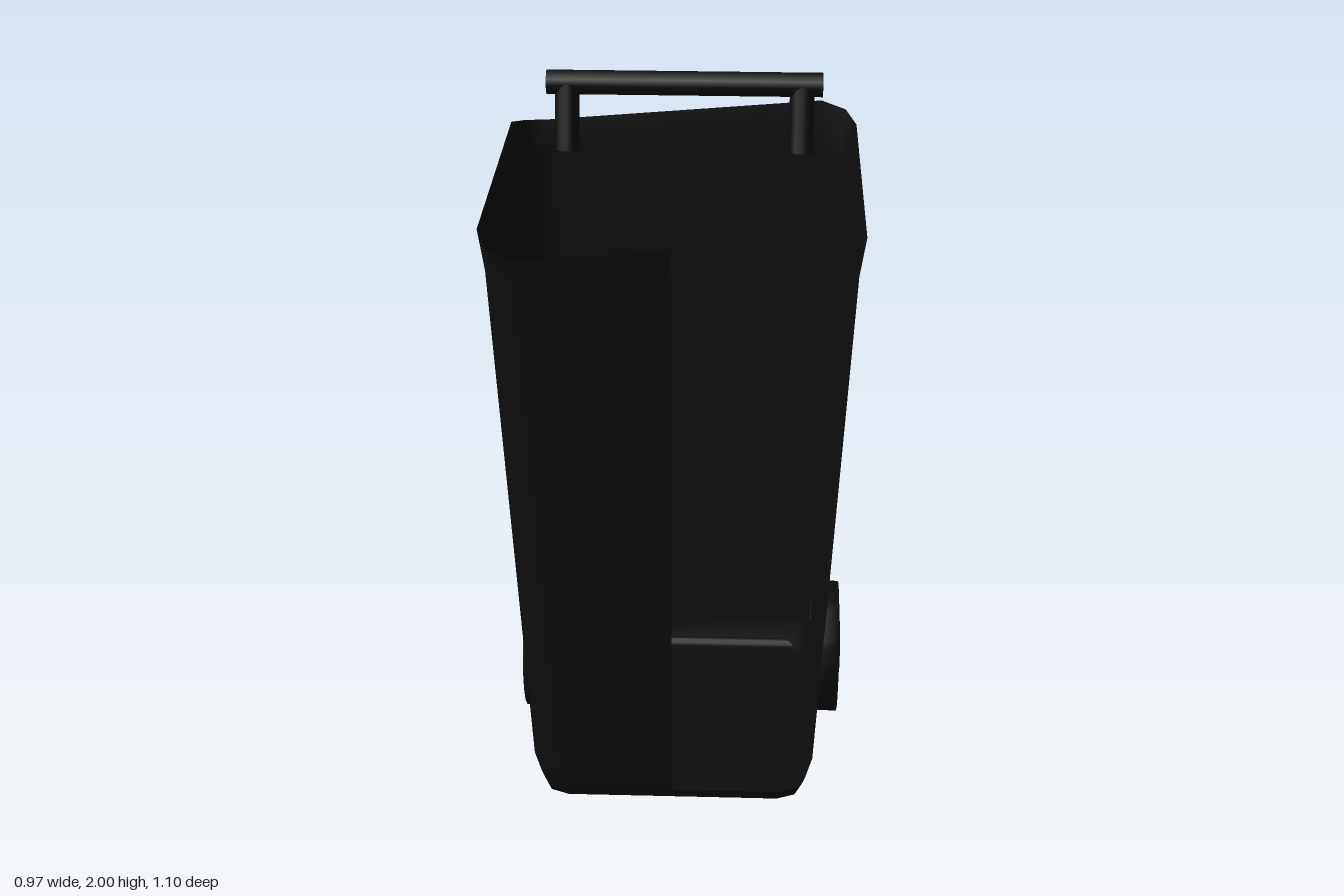
import * as THREE from 'three';

const black = new THREE.MeshStandardMaterial({ color: 0x0e0e0e, side: THREE.DoubleSide });
black.name = 'black plastic';

// Rounded-rectangle outline starting at the front middle and running towards -x.
function outline(halfX, front, back, c) {
  const k = c * 0.3;
  return [
    [0, front],
    [-halfX + c, front], [-halfX + k, front - k], [-halfX, front - c],
    [-halfX, back + c], [-halfX + k, back + k], [-halfX + c, back],
    [halfX - c, back], [halfX - k, back + k], [halfX, back + c],
    [halfX, front - c], [halfX - k, front - k], [halfX - c, front],
  ];
}

// Uneven heights of the top rim, one per outline point.
const rimHeights = [1.887, 1.855, 1.865, 1.895, 1.88, 1.862, 1.855,
  1.92, 1.905, 1.885, 1.887, 1.9, 1.9];

// Height, half width, front z, back z, corner size
const levels = [
  [0.2, 0.36, 0.44, -0.35, 0.07],
  [0.23, 0.37, 0.45, -0.36, 0.075],
  [0.3, 0.387, 0.465, -0.375, 0.08],
  [1.78, 0.459, 0.531, -0.445, 0.09],
  [null, 0.474, 0.545, -0.457, 0.095],
];

function geometryFrom(points, index) {
  const g = new THREE.BufferGeometry();
  g.setAttribute('position', new THREE.Float32BufferAttribute(points, 3));
  g.setIndex(index);
  g.computeVertexNormals();
  return g;
}

function wallGeometry() {
  const points = [], index = [], n = rimHeights.length;
  for (const [y, ...size] of levels) {
    outline(...size).forEach(([x, z], j) => points.push(x, y ?? rimHeights[j], z));
  }
  for (let i = 0; i < levels.length - 1; i++) {
    for (let j = 0; j < n; j++) {
      if (i > 0 && j >= 10) continue; // opening in the front, above the low lip
      const a = i * n + j, b = i * n + (j + 1) % n;
      index.push(a, a + n, b + n, a, b + n, b);
    }
  }
  return geometryFrom(points, index);
}

function floorGeometry() {
  const [y, ...size] = levels[0];
  const ring = outline(...size), points = [0, y, 0.04], index = [];
  ring.forEach(([x, z], j) => {
    points.push(x, y, z);
    index.push(0, j + 1, (j + 1) % ring.length + 1);
  });
  return geometryFrom(points, index);
}

function add(parent, name, geometry) {
  const mesh = new THREE.Mesh(geometry, black);
  mesh.name = name;
  parent.add(mesh);
  return mesh;
}

// Round bar between two points
function bar(parent, name, from, to, radius) {
  const a = new THREE.Vector3(...from), b = new THREE.Vector3(...to);
  const dir = b.clone().sub(a);
  const mesh = add(parent, name, new THREE.CylinderGeometry(radius, radius, dir.length(), 12));
  mesh.position.copy(a).add(b).multiplyScalar(0.5);
  mesh.quaternion.setFromUnitVectors(new THREE.Vector3(0, 1, 0), dir.normalize());
}

export function createModel() {
  const model = new THREE.Group();
  model.name = 'wheeledBin';

  add(model, 'walls', wallGeometry());
  add(model, 'floor', floorGeometry());

  // Push handle on two slanted arms
  bar(model, 'handleBar', [-0.382, 1.966, -0.452], [0.382, 1.966, -0.452], 0.034);
  for (const side of [-1, 1]) {
    bar(model, 'handleArm', [side * 0.325, 1.785, -0.4], [side * 0.325, 1.96, -0.45], 0.034);
  }

  // Axle and wheels with a shallow groove around the hub
  bar(model, 'axle', [-0.4, 0.2, -0.35], [0.4, 0.2, -0.35], 0.02);
  const half = [[0, 0.05], [0.085, 0.05], [0.095, 0.03], [0.13, 0.03], [0.145, 0.043], [0.2, 0.043]];
  const profile = [
    ...half.map(([r, h]) => new THREE.Vector2(r, -h)),
    ...half.slice().reverse().map(([r, h]) => new THREE.Vector2(r, h)),
  ];
  for (const side of [-1, 1]) {
    const wheel = add(model, 'wheel', new THREE.LatheGeometry(profile, 20));
    wheel.rotation.z = Math.PI / 2;
    wheel.position.set(side * 0.433, 0.2, -0.35);
  }
  return model;
}
